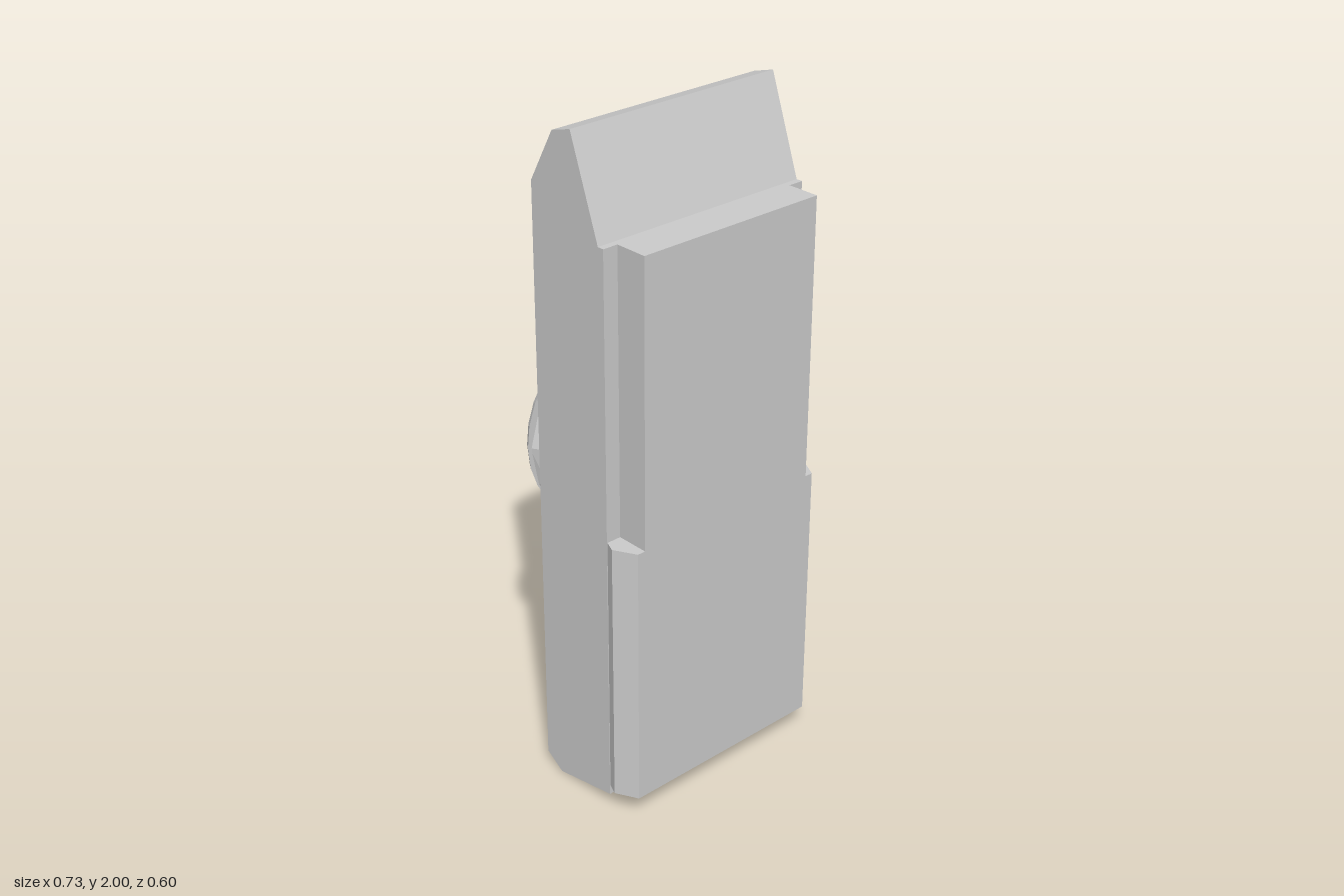
import * as THREE from 'three';

const material = new THREE.MeshStandardMaterial({ color: 0xcccccc, flatShading: true });

function add(parent, name, geometry) {
  const mesh = new THREE.Mesh(geometry, material);
  mesh.name = name;
  parent.add(mesh);
  return mesh;
}

const shapeOf = (points) => new THREE.Shape(points.map(([a, b]) => new THREE.Vector2(a, b)));

// Side profile given as [z, y], extruded from x0 to x1
function sideExtrude(points, x0, x1) {
  const geometry = new THREE.ExtrudeGeometry(shapeOf(points), { depth: x1 - x0, bevelEnabled: false });
  return geometry.rotateY(-Math.PI / 2).translate(x1, 0, 0);
}

// Plan given as [x, z], extruded from y0 to y1
function planExtrude(points, y0, y1) {
  const shape = shapeOf(points.map(([x, z]) => [x, -z]));
  const geometry = new THREE.ExtrudeGeometry(shape, { depth: y1 - y0, bevelEnabled: false });
  return geometry.rotateX(-Math.PI / 2).translate(0, y0, 0);
}

// Skin mirrored half outlines, running from front to back
function loft(sections) {
  const rings = sections.map(({ z, half }) => {
    const mirrored = half.map(([x, y]) => [-x, y]).reverse();
    return [...half, ...mirrored].map(([x, y]) => [x, y, z]);
  });
  const n = rings[0].length;
  const index = [];
  for (let k = 0; k < rings.length - 1; k++) {
    for (let i = 0; i < n; i++) {
      const a = k * n + i, b = k * n + (i + 1) % n;
      index.push(a, b, b + n, a, b + n, a + n);
    }
  }
  const geometry = new THREE.BufferGeometry();
  geometry.setAttribute('position', new THREE.Float32BufferAttribute(rings.flat(2), 3));
  geometry.setIndex(index);
  const flat = geometry.toNonIndexed();
  flat.computeVertexNormals();
  return flat;
}

export function createModel() {
  const model = new THREE.Group();
  model.name = 'device';

  // Main case: a recessed middle between two solid end strips
  const caseTop = [[0.2, 1.72], [0.18, 1.72], [0.08, 2], [0.01, 1.98], [-0.077, 1.825]];
  const footing = [[-0.077, 0.04], [-0.015, 0], [0.2, 0.04]];
  const recess = [[-0.077, 0.09], [-0.03, 0.045], [0.17, 0.055], [0.175, 0.04], [0.2, 0.04]];
  add(model, 'caseMiddle', sideExtrude([...caseTop, ...recess], -0.29, 0.29));
  add(model, 'caseLeftSide', sideExtrude([...caseTop, ...footing], 0.29, 0.352));
  add(model, 'caseRightSide', sideExtrude([...caseTop, ...footing], -0.352, -0.29));

  // Front cover: narrow above, wider with bevelled flanks below
  const upper = new THREE.BoxGeometry(0.61, 0.85, 0.1);
  add(model, 'upperFrontCover', upper).position.set(0, 1.295, 0.25);
  add(model, 'lowerFrontCover', planExtrude(
    [[-0.35, 0.2], [-0.365, 0.235], [-0.33, 0.3], [0.33, 0.3], [0.365, 0.235], [0.35, 0.2]], 0.07, 0.875));

  // Mount on the back, flaring out to the disc, with a stepped lower plate
  const mount = new THREE.Group();
  mount.name = 'backMount';
  model.add(mount);
  add(mount, 'mountBody', loft([
    { z: -0.075, half: [[0.095, 1.315], [0.15, 1.27], [0.205, 1.1], [0.225, 0.98], [0.215, 0.85], [0.185, 0.69], [0.13, 0.62]] },
    { z: -0.11, half: [[0.095, 1.318], [0.155, 1.27], [0.22, 1.1], [0.24, 0.98], [0.23, 0.85], [0.19, 0.67], [0.13, 0.6]] },
    { z: -0.16, half: [[0.095, 1.28], [0.17, 1.22], [0.24, 1.09], [0.265, 0.98], [0.25, 0.85], [0.2, 0.65], [0.13, 0.565]] },
    { z: -0.16, half: [[0.095, 1.28], [0.17, 1.22], [0.24, 1.09], [0.265, 0.98], [0.25, 0.85], [0.18, 0.75], [0.1, 0.7]] },
    { z: -0.2, half: [[0.095, 1.22], [0.18, 1.18], [0.26, 1.08], [0.288, 0.98], [0.265, 0.86], [0.18, 0.75], [0.1, 0.69]] },
  ]));

  // Ribs over the top of the mount and small lugs at its sides
  const rib = [[-0.075, 1.2], [-0.075, 1.32], [-0.11, 1.325], [-0.14, 1.31], [-0.165, 1.285], [-0.195, 1.24], [-0.195, 1.15]];
  for (const side of [-1, 1]) {
    add(mount, 'topRib', sideExtrude(rib.slice().reverse(), side * 0.1 - 0.006, side * 0.1 + 0.006));
    add(mount, 'sideLug', new THREE.BoxGeometry(0.05, 0.1, 0.025)).position.set(side * 0.225, 0.98, -0.088);
  }

  // Thin disc at the back
  const disc = new THREE.CylinderGeometry(0.285, 0.298, 0.02, 28).rotateX(-Math.PI / 2);
  add(mount, 'backDisc', disc).position.set(0, 0.985, -0.205);

  // Block on the disc, with a sloping lip beneath
  add(mount, 'latchBlock', new THREE.BoxGeometry(0.168, 0.135, 0.065)).position.set(0, 1.124, -0.246);
  add(mount, 'latchLip', sideExtrude(
    [[-0.21, 1.065], [-0.298, 1.046], [-0.298, 1.038], [-0.21, 1.055]], -0.093, 0.093));

  return model;
}
